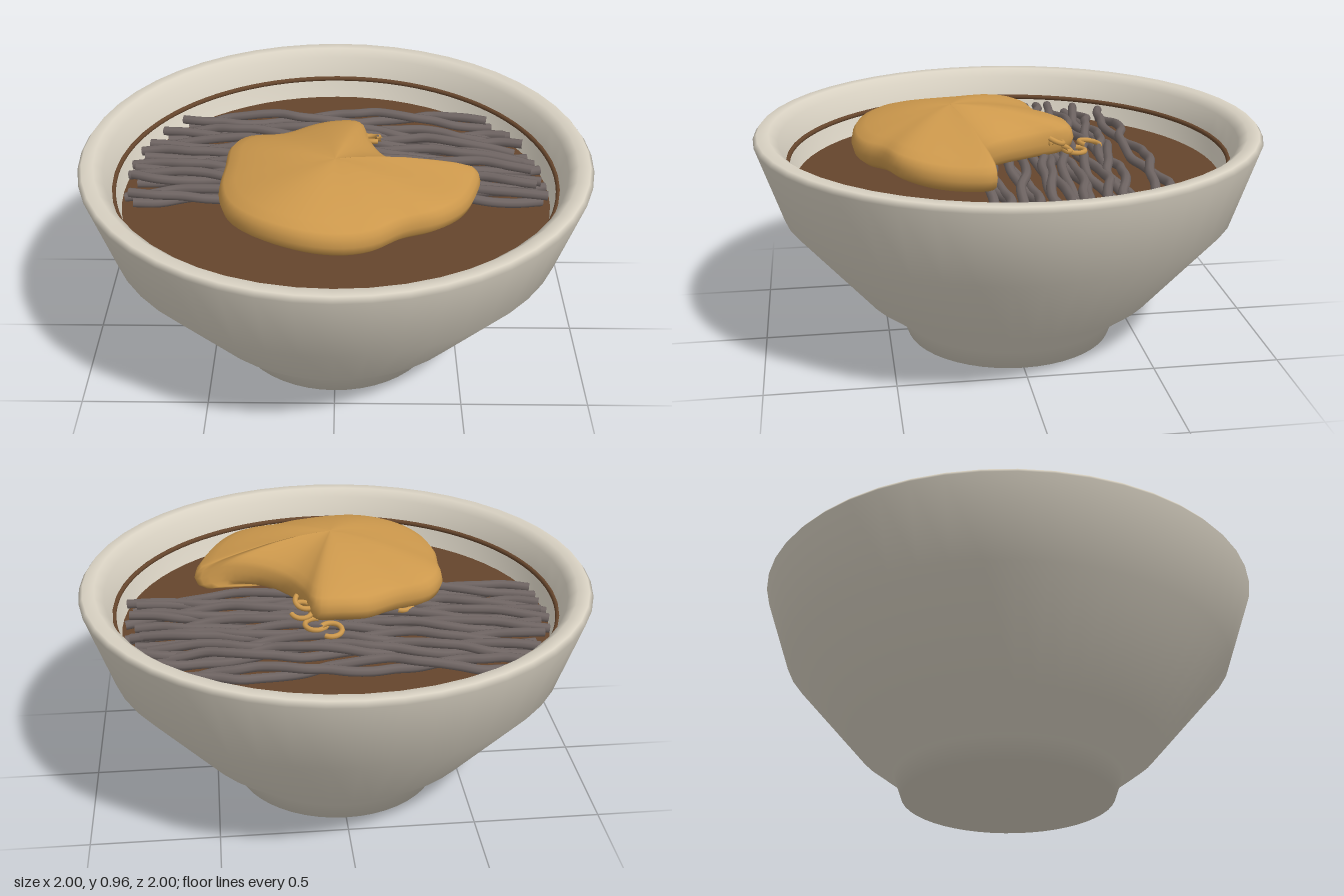
import * as THREE from 'three';

const material = (name, color) => {
  const m = new THREE.MeshStandardMaterial({ color });
  m.name = name;
  return m;
};

export function createModel() {
  const ceramic = material('cream ceramic', 0xd9d2c3);
  const trim = material('dark trim', 0x625a52);
  const broth = material('brown broth', 0x65452c);
  const noodle = material('grey noodle', 0x6e6462);
  const batter = material('golden batter', 0xcc984c);

  const model = new THREE.Group();
  model.name = 'noodleBowl';
  const add = (name, geometry, mat, parent = model) => {
    const mesh = new THREE.Mesh(geometry, mat);
    mesh.name = name;
    parent.add(mesh);
    return mesh;
  };
  const group = (name) => {
    const g = new THREE.Group();
    g.name = name;
    model.add(g);
    return g;
  };

  // Bowl: outer wall from the foot up, over the rim and down the inside
  const profile = [
    [0, 0], [0.42, 0], [0.45, 0.085], [0.6, 0.2], [0.9, 0.55], [1, 0.85], [0.985, 0.87],
    [0.94, 0.87], [0.905, 0.84], [0.875, 0.75], [0.852, 0.67], [0.8, 0.55], [0.5, 0.24], [0, 0.16],
  ].map(([x, y]) => new THREE.Vector2(x, y));
  add('bowl', new THREE.LatheGeometry(profile, 48), ceramic);

  // Painted rings: the outer one only breaks through the middle of each facet
  const ring = (name, radius, tube, y, mat) => {
    const g = new THREE.TorusGeometry(radius, tube, 24, 96).rotateX(Math.PI / 2);
    add(name, g, mat).position.y = y;
  };
  ring('outerRing', 0.948, 0.012, 0.739, trim);
  ring('innerRing', 0.873, 0.01, 0.75, broth);

  // Soup surface
  add('soup', new THREE.CylinderGeometry(0.848, 0.83, 0.05, 64), broth).position.y = 0.645;

  // Noodles: bundles of twisted strands [z at left end, z at right end, strands]
  const noodles = group('noodles');
  const bundles = [
    [-0.51, -0.52, 2], [-0.4, -0.37, 3], [-0.31, -0.3, 2], [-0.22, -0.2, 3],
    [-0.11, -0.13, 3], [-0.04, 0, 3], [0.11, 0.1, 3],
  ];
  bundles.forEach(([z0, z1, count], b) => {
    for (let s = 0; s < count; s++) {
      const phase = (s / count) * Math.PI * 2 + b * 1.7;
      const half = Math.sqrt(0.835 ** 2 - z0 * z0) - 0.02 * ((s + b) % 3);
      const points = [];
      for (let i = 0; i <= 16; i++) {
        const t = i / 16;
        const turn = phase + t * (9 + (b % 3) + s * 0.8);
        points.push(new THREE.Vector3(
          (2 * t - 1) * half,
          0.71 + 0.018 * Math.cos(turn) + 0.03 * Math.sin(Math.PI * t),
          z0 + (z1 - z0) * t + 0.032 * Math.sin(turn) + 0.006 * Math.sin(i * 2.3 + b),
        ));
      }
      const path = new THREE.CatmullRomCurve3(points);
      add('noodleStrand', new THREE.TubeGeometry(path, 64, 0.019, 8), noodle, noodles);
    }
  });

  // Fritter: a plump slab lofted from a curved outline with one bite-shaped notch
  const outline = new THREE.CatmullRomCurve3([
    [0, -0.25], [0.1, -0.24], [0.14, -0.1], [0.2, 0.03], [0.3, 0.11], [0.43, 0.14], [0.55, 0.12],
    [0.53, 0.25], [0.47, 0.38], [0.38, 0.47], [0.25, 0.52], [0.14, 0.59], [0, 0.62], [-0.15, 0.6],
    [-0.3, 0.52], [-0.4, 0.4], [-0.44, 0.25], [-0.43, 0.1], [-0.42, -0.03], [-0.36, -0.12],
    [-0.22, -0.16], [-0.1, -0.23],
  ].map(([x, z]) => new THREE.Vector3(x, 0, z)), true);
  const layers = [
    [0, 0.75], [0.6, 0.755], [0.92, 0.77], [0.98, 0.79], [1, 0.82], [0.985, 0.85],
    [0.95, 0.87], [0.85, 0.89], [0.7, 0.91], [0.5, 0.933], [0.3, 0.949], [0.12, 0.957], [0, 0.958],
  ];
  const sides = 88, center = new THREE.Vector3(0, 0, 0.23);
  const positions = [], indices = [];
  layers.forEach(([scale, y], j) => {
    for (let i = 0; i < sides; i++) {
      const p = outline.getPoint(i / sides).sub(center).multiplyScalar(scale).add(center);
      const ripple = 0.008 * scale * Math.sin((i / sides) * Math.PI * 10 + 1);
      positions.push(p.x, y + ripple, p.z);
      if (j === layers.length - 1) continue;
      const a = j * sides + i, b = j * sides + ((i + 1) % sides);
      indices.push(a, a + sides, b, b, a + sides, b + sides);
    }
  });
  const fritter = new THREE.BufferGeometry();
  fritter.setAttribute('position', new THREE.Float32BufferAttribute(positions, 3));
  fritter.setIndex(indices);
  fritter.computeVertexNormals();
  add('fritter', fritter, batter);

  // Small curls around and under the fritter [x, y, z, tilt, turn]
  const curls = group('curls');
  [
    [0.05, 0.79, -0.32, 1.4, 0.6], [0.13, 0.84, -0.16, 1.1, 2.2], [0.15, 0.81, -0.185, 1.2, 1.2],
    [0.1, 0.78, -0.25, 1.5, 3.5], [-0.25, 0.77, -0.09, 1.4, 0.4], [-0.3, 0.77, 0.1, 1.3, 2],
  ].forEach(([x, y, z, tilt, turn]) => {
    const g = new THREE.TorusGeometry(0.042, 0.01, 8, 24, 4.7).rotateZ(turn).rotateX(tilt);
    add('curl', g, batter, curls).position.set(x, y, z);
  });

  return model;
}
